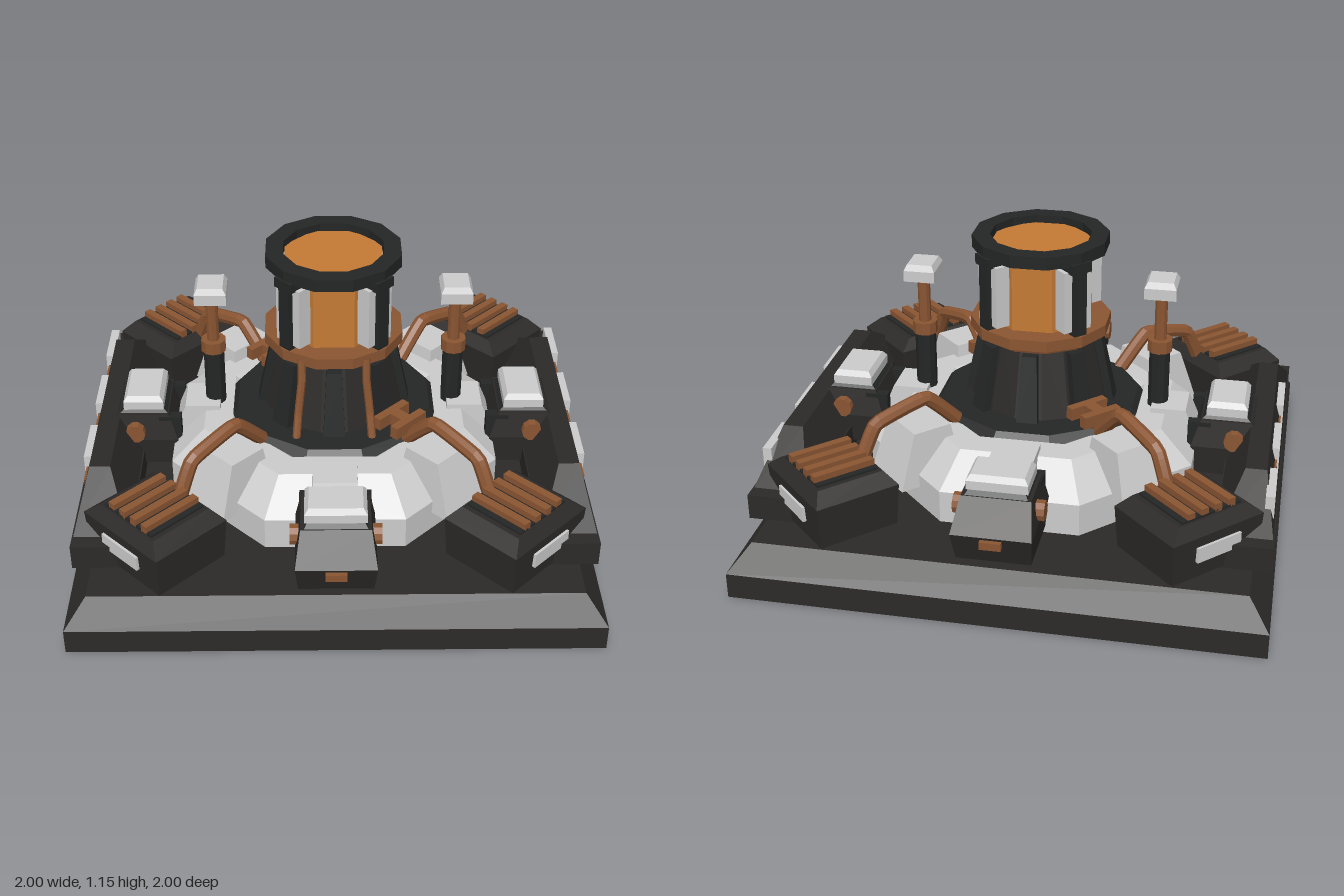
import * as THREE from 'three';

const mat = (color) => new THREE.MeshStandardMaterial({ color, flatShading: true });
const DARK = mat(0x2c2a28), BLACK = mat(0x242525), GREY = mat(0xcccccc), COPPER = mat(0x8a5532), AMBER = mat(0xc47a35);

function add(parent, name, geometry, material, x = 0, y = 0, z = 0) {
  const mesh = new THREE.Mesh(geometry, material);
  mesh.name = name;
  mesh.position.set(x, y, z);
  parent.add(mesh);
  return mesh;
}

const box = (w, h, d) => new THREE.BoxGeometry(w, h, d);

// Box standing on y = 0 whose top has its own size and offset
function taper(w, h, d, topW, topD, dx = 0, dz = 0) {
  const g = new THREE.BoxGeometry(w, h, d).translate(0, h / 2, 0);
  const p = g.attributes.position;
  for (let i = 0; i < p.count; i++) {
    if (p.getY(i) > h / 2) p.setXYZ(i, p.getX(i) * topW / w + dx, h, p.getZ(i) * topD / d + dz);
  }
  return g;
}

// Faceted ring or column with a flat side facing front
function lathe(points, sides) {
  return new THREE.LatheGeometry(points.map(([r, y]) => new THREE.Vector2(r, y)), sides).rotateY(Math.PI / sides);
}

// Bent pipe with straight runs
function pipe(points, radius) {
  const path = new THREE.CurvePath();
  const v = points.map((p) => new THREE.Vector3(...p));
  for (let i = 1; i < v.length; i++) path.add(new THREE.LineCurve3(v[i - 1], v[i]));
  const g = new THREE.CatmullRomCurve3(v, false, 'catmullrom', 0.15);
  return new THREE.TubeGeometry(g, 24, radius, 8);
}

function around(parent, name, count, start, build) {
  for (let i = 0; i < count; i++) {
    const g = new THREE.Group();
    g.name = name;
    g.rotation.y = start + i * Math.PI * 2 / count;
    build(g, i);
    parent.add(g);
  }
}

// Machine housing at the middle of each side
function buildHousing(g) {
  add(g, 'housingLower', taper(0.28, 0.12, 0.27, 0.3, 0.33, 0, 0.01), DARK, 0, 0.23, 0.785);
  add(g, 'housingUpper', taper(0.3, 0.11, 0.33, 0.26, 0.2, 0, -0.03), DARK, 0, 0.35, 0.795);
  add(g, 'housingNeck', taper(0.24, 0.03, 0.2, 0.2, 0.14), BLACK, 0, 0.455, 0.765);
  add(g, 'housingCap', box(0.23, 0.035, 0.16), GREY, 0, 0.4925, 0.765);
  add(g, 'housingCapTop', taper(0.23, 0.022, 0.16, 0.2, 0.13), GREY, 0, 0.51, 0.765);
  add(g, 'axle', new THREE.CylinderGeometry(0.04, 0.04, 0.34, 10).rotateZ(Math.PI / 2), COPPER, 0, 0.39, 0.8);
  add(g, 'latch', box(0.08, 0.03, 0.03), COPPER, 0, 0.325, 0.96);
  for (const s of [-1, 1]) add(g, 'housingFlange', box(0.04, 0.2, 0.09), BLACK, s * 0.115, 0.35, 0.66);
  add(g, 'skirtBlock', taper(0.19, 0.17, 0.22, 0.17, 0.14, 0, -0.03), GREY, 0, 0.3, 0.56);
}

// Corner vent with grille and pipe
function buildVent(g, i) {
  add(g, 'ventBody', taper(0.4, 0.17, 0.32, 0.42, 0.34), DARK, 0, 0.21, 0.955);
  add(g, 'ventTop', taper(0.42, 0.045, 0.34, 0.31, 0.27), DARK, 0, 0.38, 0.955);
  add(g, 'ventBed', box(0.27, 0.01, 0.25), BLACK, 0, 0.428, 0.955);
  for (let k = 0; k < 4; k++) add(g, 'grilleBar', box(0.032, 0.04, 0.25), COPPER, -0.093 + k * 0.062, 0.437, 0.955);
  add(g, 'ventPlate', box(0.2, 0.06, 0.016), GREY, 0, 0.31, 1.125);
  add(g, 'ventPipe', pipe([[0, 0.4, 0.83], [0, 0.535, 0.76], [0, 0.585, 0.54], [0, 0.45, 0.4]], 0.029), COPPER);
  add(g, 'skirtBlock', taper(0.24, 0.22, 0.27, 0.2, 0.16, 0, -0.02), GREY, 0, 0.28, 0.59);
  if (i % 2 === 0) {
    for (const z of [0.32, 0.41]) add(g, 'pipeClampBar', box(0.17, 0.05, 0.035), COPPER, 0, 0.52, z);
    add(g, 'pipeClampLink', box(0.05, 0.05, 0.09), COPPER, 0, 0.52, 0.365);
  }
}

// Long bank with panels on one side
function buildBank(g, s) {
  add(g, 'bankBase', box(0.22, 0.1, 1.52), DARK, s * 0.88, 0.25, 0);
  add(g, 'bankSlope', taper(0.21, 0.15, 1.4, 0.08, 0.92, s * 0.022), DARK, s * 0.88, 0.3, 0);
  add(g, 'bankStrip', box(0.03, 0.04, 0.98), COPPER, s * 0.958, 0.35, -0.06);
  for (let k = 0; k < 3; k++) {
    add(g, 'bankPanel', box(0.035, 0.09, 0.215), GREY, s * 0.963, 0.372, 0.245 - k * 0.367);
  }
}

// Upright signal post
function buildPost(g, s) {
  const x = s * 0.48;
  add(g, 'postSleeve', new THREE.CylinderGeometry(0.042, 0.042, 0.3, 10), BLACK, x, 0.55, 0);
  add(g, 'postCollar', new THREE.CylinderGeometry(0.05, 0.05, 0.05, 10), COPPER, x, 0.715, 0);
  add(g, 'postRod', new THREE.CylinderGeometry(0.025, 0.025, 0.22, 10), COPPER, x, 0.84, 0);
  add(g, 'postHead', box(0.125, 0.045, 0.14), GREY, x, 0.953, 0);
  add(g, 'postHeadTop', taper(0.125, 0.025, 0.14, 0.1, 0.115), GREY, x, 0.975, 0);
}

function buildTower(g) {
  add(g, 'towerFloor', lathe([[0.44, 0.43], [0.4, 0.47], [0, 0.47]], 12), BLACK);
  add(g, 'towerCone', lathe([[0.285, 0.44], [0.21, 0.78], [0, 0.78]], 16), DARK);
  around(g, 'towerRib', 8, 0, (r) => {
    add(r, 'rib', taper(0.085, 0.26, 0.05, 0.06, 0.04, 0, -0.05), BLACK, 0, 0.47, 0.28);
  });
  add(g, 'towerCollar', lathe([[0.2, 0.74], [0.24, 0.74], [0.25, 0.765], [0.28, 0.765], [0.28, 0.81], [0, 0.815]], 12), COPPER);
  add(g, 'core', lathe([[0.205, 0.8], [0.205, 1.12], [0, 1.12]], 8), AMBER);
  add(g, 'topRing', lathe([[0.2, 1.1], [0.27, 1.1], [0.27, 1.15], [0.2, 1.15], [0.2, 1.1]], 12), BLACK);
  // Dark struts flanked by pale plates
  around(g, 'strutSet', 4, Math.PI / 4, (r) => {
    add(r, 'strut', box(0.055, 0.3, 0.09), BLACK, 0, 0.96, 0.225);
    add(r, 'strutHead', box(0.09, 0.04, 0.1), BLACK, 0, 1.09, 0.225);
    for (const s of [-1, 1]) add(r, 'strutPlate', box(0.035, 0.25, 0.06), GREY, s * 0.045, 0.95, 0.22);
  });
  // Feed pipes down the front of the tower
  for (const s of [-1, 1]) {
    add(g, 'feedPipe', pipe([[s * 0.125, 0.79, 0.235], [s * 0.125, 0.7, 0.25], [s * 0.14, 0.56, 0.27], [s * 0.15, 0.44, 0.31]], 0.016), COPPER);
  }
}

export function createModel() {
  const model = new THREE.Group();
  model.name = 'towerStation';

  // Plinth
  add(model, 'plinth', box(2, 0.1, 2), DARK, 0, 0.05, 0);
  add(model, 'plinthBevel', taper(2, 0.1, 2, 1.84, 1.84), DARK, 0, 0.1, 0);

  // Octagonal skirt around the tower
  add(model, 'skirt', lathe([[0.7, 0.19], [0.7, 0.33], [0.56, 0.45], [0.44, 0.45], [0.4, 0.42]], 8), GREY);

  around(model, 'housing', 4, 0, buildHousing);
  around(model, 'vent', 4, Math.PI / 4, buildVent);
  for (const s of [-1, 1]) {
    const side = new THREE.Group();
    side.name = s > 0 ? 'leftSide' : 'rightSide';
    buildBank(side, s);
    buildPost(side, s);
    model.add(side);
  }

  const tower = new THREE.Group();
  tower.name = 'tower';
  buildTower(tower);
  model.add(tower);
  return model;
}
